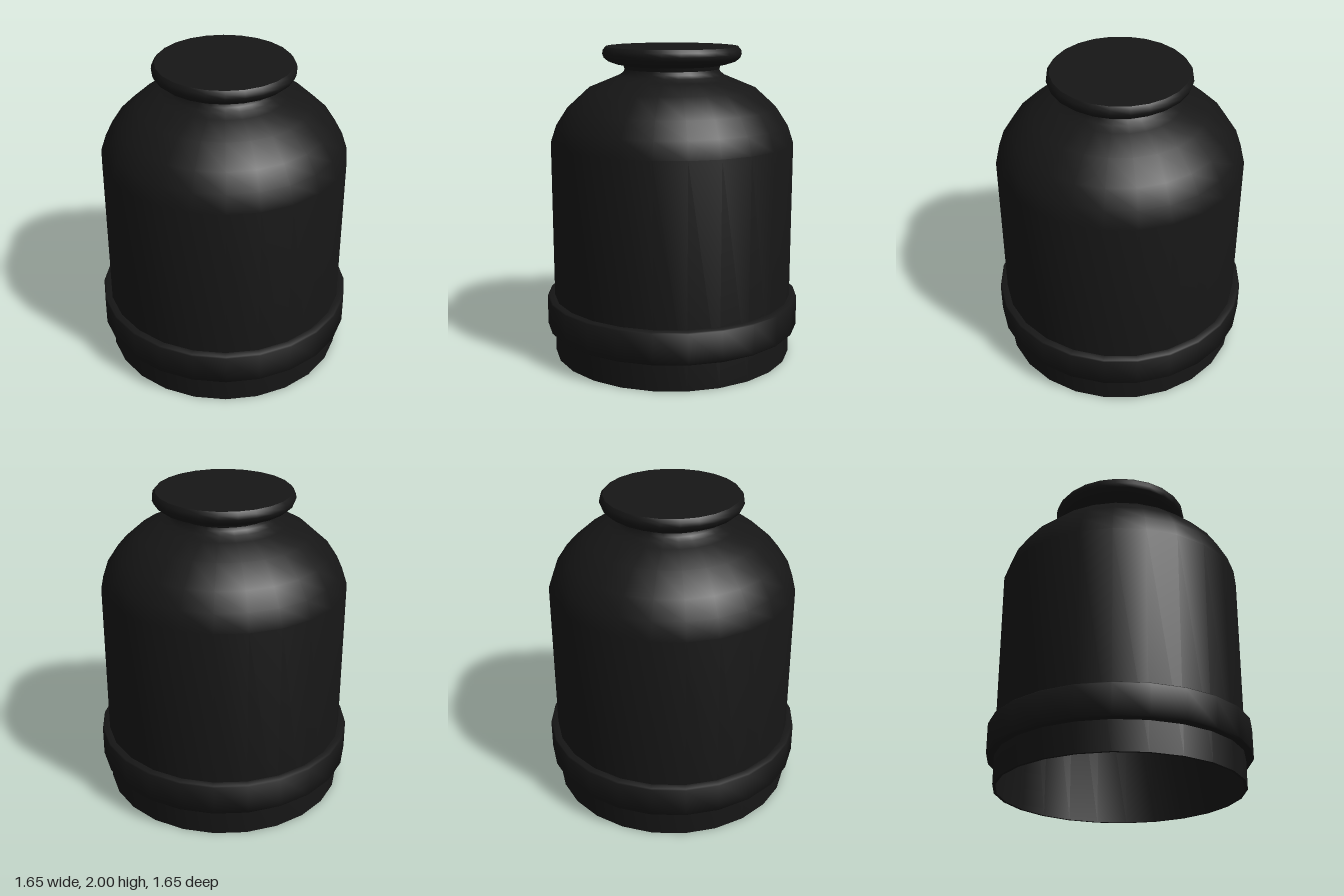
import * as THREE from 'three';
import { toCreasedNormals } from 'three/addons/utils/BufferGeometryUtils.js';

const SIDES = 24;
const WALL = 0.018;
const material = new THREE.MeshStandardMaterial({ color: 0x161616 });

// Turned part from [radius, height] pairs, listed bottom to top along the outside
function turned(name, profile, crease) {
  const points = profile.map(([r, y]) => new THREE.Vector2(r, y));
  const geometry = toCreasedNormals(new THREE.LatheGeometry(points, SIDES), crease);
  const mesh = new THREE.Mesh(geometry, material);
  mesh.name = name;
  return mesh;
}

export function createModel() {
  const group = new THREE.Group();
  group.name = 'jar';

  // Straight wall and domed shoulder up to the neck
  const outside = [
    [0.777, 0], [0.777, 1.4], [0.74, 1.51], [0.67, 1.617], [0.54, 1.735],
    [0.39, 1.797], [0.335, 1.82], [0.31, 1.84], [0.302, 1.86], [0.31, 1.885],
  ];
  // Hollow inside, open at the bottom: the same curve set in by the wall thickness
  const inside = outside.slice(0, -1).map(([r, y]) => [r - WALL, y > 1.4 ? y - WALL : y]);
  inside.push([0.285, 1.98], [0, 1.98]);
  group.add(turned('body', [...inside.reverse(), ...outside], 0.6));

  // Flared stopper with a flat top
  group.add(turned('stopper', [
    [0.28, 1.88], [0.31, 1.883], [0.36, 1.893], [0.405, 1.908], [0.432, 1.93],
    [0.442, 1.955], [0.438, 1.98], [0.422, 2], [0, 2],
  ], 0.6));

  // Raised band around the lower wall, with softened edges
  group.add(turned('band', [
    [0.77, 0.183], [0.818, 0.183], [0.825, 0.19],
    [0.825, 0.38], [0.818, 0.387], [0.77, 0.387],
  ], 1));

  return group;
}
